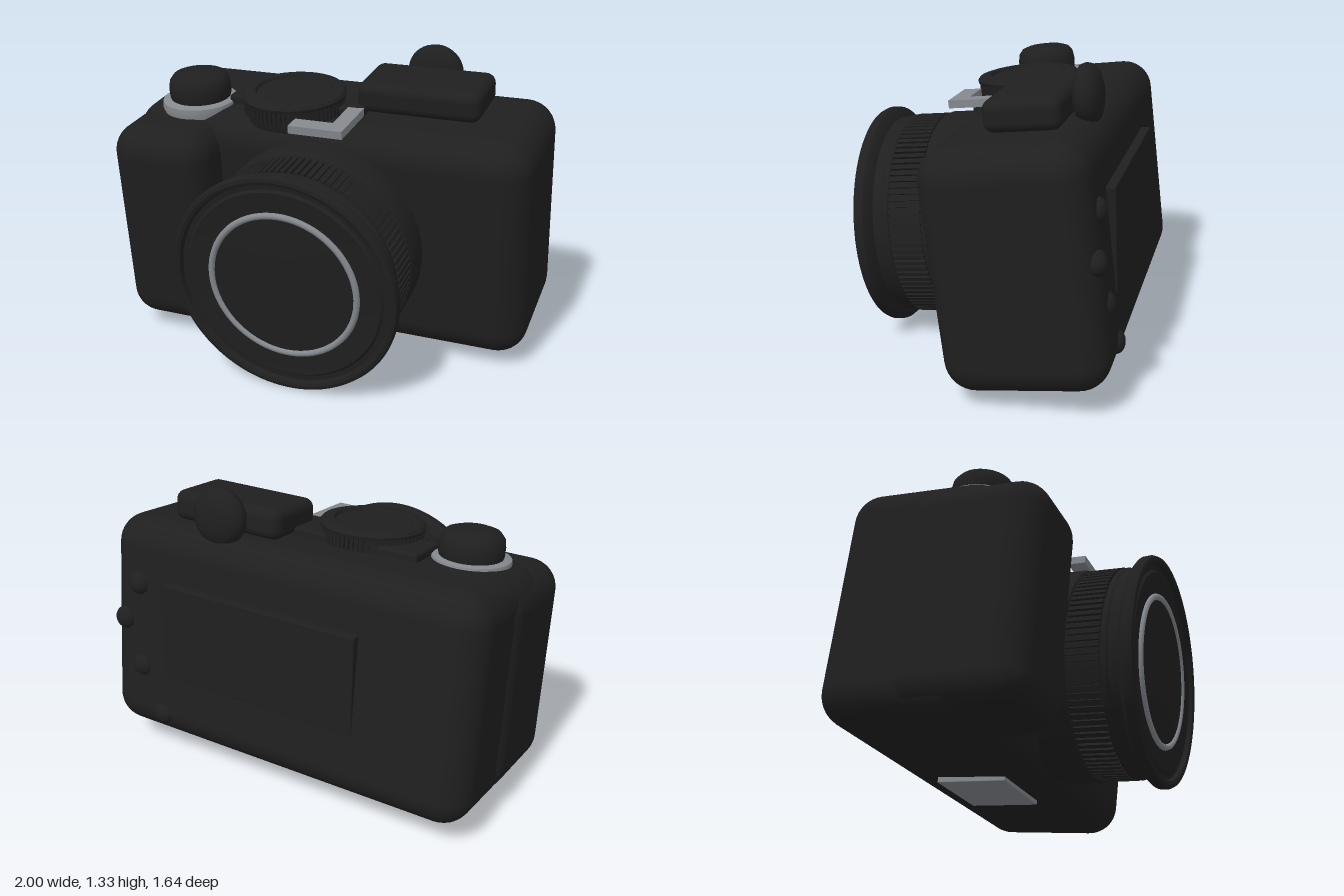
import * as THREE from 'three';
import { mergeGeometries, toCreasedNormals } from 'three/addons/utils/BufferGeometryUtils.js';
import { RoundedBoxGeometry } from 'three/addons/geometries/RoundedBoxGeometry.js';

const black = new THREE.MeshStandardMaterial({ name: 'black casing', color: 0x1f1f1f });
const silver = new THREE.MeshStandardMaterial({ name: 'silver trim', color: 0x84888d });

function add(parent, name, geometry, material = black, x = 0, y = 0, z = 0) {
  const mesh = new THREE.Mesh(geometry, material);
  mesh.name = name;
  mesh.position.set(x, y, z);
  parent.add(mesh);
  return mesh;
}

// Rounded block given by its limits on each axis
function block(parent, name, [x0, x1], [y0, y1], [z0, z1], radius, material) {
  const geometry = new RoundedBoxGeometry(x1 - x0, y1 - y0, z1 - z0, 5, radius);
  return add(parent, name, geometry, material, (x0 + x1) / 2, (y0 + y1) / 2, (z0 + z1) / 2);
}

// Turned part from [radius, height] pairs, crisp at its steps
function turned(profile, segments = 64) {
  const points = profile.map(([r, h]) => new THREE.Vector2(r, h));
  return toCreasedNormals(new THREE.LatheGeometry(points, segments), 0.6);
}

// Ring of small grip ribs around the y axis
function ribs(count, radius, height, width, depth) {
  const list = [];
  for (let i = 0; i < count; i++) {
    const rib = new THREE.BoxGeometry(width, height, depth);
    rib.translate(0, 0, radius - depth / 2);
    rib.rotateY((i / count) * Math.PI * 2);
    list.push(rib);
  }
  return mergeGeometries(list);
}

export function createModel() {
  const model = new THREE.Group();
  model.name = 'camera';
  const camera = new THREE.Group();
  camera.name = 'tiltedCamera';
  camera.rotation.set(0.1, -0.445, 0, 'YXZ');
  camera.position.set(0, 0.6, 0.015);
  model.add(camera);

  // Casing
  const body = block(camera, 'body', [-0.925, 0.908], [-0.533, 0.488], [-0.49, 0.2], 0.135);
  body.rotation.x = 0.02;
  block(camera, 'handGrip', [-0.94, -0.47], [-0.51, 0.455], [-0.2, 0.405], 0.13);

  // Lens, turned about the z axis
  const lens = new THREE.Group();
  lens.name = 'lens';
  lens.position.set(0, -0.035, 0.005);
  lens.rotation.x = Math.PI / 2;
  camera.add(lens);
  add(lens, 'lensBarrel', turned([
    [0.45, 0.1], [0.462, 0.18], [0.468, 0.21], [0.47, 0.325], [0.464, 0.345], [0.452, 0.35],
    [0.45, 0.5], [0.46, 0.505], [0.462, 0.525], [0.455, 0.535], [0.455, 0.575], [0.488, 0.59],
    [0.502, 0.605], [0.504, 0.63], [0.497, 0.646], [0.482, 0.65], [0.468, 0.645], [0.462, 0.625],
    [0.44, 0.625], [0.43, 0.635], [0.34, 0.625], [0, 0.625],
  ], 96));
  add(lens, 'focusRibs', ribs(100, 0.464, 0.145, 0.018, 0.025), black, 0, 0.427, 0);
  const ring = add(lens, 'lensTrimRing', new THREE.TorusGeometry(0.325, 0.014, 10, 80), silver, 0, 0.628, 0);
  ring.rotation.x = Math.PI / 2;
  add(lens, 'lensGlass', turned([[0.315, 0.62], [0.31, 0.632], [0.16, 0.637], [0, 0.638]]));

  // Shutter button on its silver collar
  add(camera, 'shutterCollar', turned([
    [0.15, 0.44], [0.168, 0.45], [0.172, 0.475], [0.168, 0.498], [0.155, 0.504], [0, 0.504],
  ]), silver, -0.65, 0, 0.02);
  add(camera, 'shutterButton', turned([
    [0.13, 0.48], [0.139, 0.515], [0.14, 0.55], [0.134, 0.585], [0.116, 0.608], [0.085, 0.619], [0, 0.622],
  ]), black, -0.65, 0, 0.012);

  // Mode dial on its raised bed
  block(camera, 'dialBed', [-0.5, 0.14], [0.44, 0.525], [-0.2, 0.025], 0.015);
  add(camera, 'modeDial', turned([
    [0.21, 0.45], [0.213, 0.46], [0.213, 0.545], [0.23, 0.548], [0.233, 0.56], [0.222, 0.573],
    [0.195, 0.58], [0.172, 0.58], [0.165, 0.566], [0, 0.56],
  ]), black, -0.19, 0, -0.01);
  add(camera, 'modeDialRibs', ribs(64, 0.226, 0.06, 0.013, 0.02), black, -0.19, 0.517, -0.01);

  // L-shaped bracket over the lens
  const corner = new THREE.Shape([
    [-0.1, -0.277], [0.142, -0.277], [0.142, -0.005], [0.072, -0.005], [0.072, -0.195], [-0.1, -0.195],
  ].map(([x, y]) => new THREE.Vector2(x, y)));
  const bracket = new THREE.ExtrudeGeometry(corner, { depth: 0.035, bevelEnabled: false });
  bracket.rotateX(-Math.PI / 2);
  add(camera, 'accessoryBracket', bracket, silver, 0, 0.49, 0);

  // Flash housing and the wheel standing behind it
  block(camera, 'flashHousing', [0.09, 0.645], [0.485, 0.622], [-0.345, -0.025], 0.045);
  const wheel = add(camera, 'rearWheel', turned([
    [0, -0.06], [0.06, -0.058], [0.1, -0.045], [0.124, -0.022], [0.13, 0],
    [0.124, 0.022], [0.1, 0.045], [0.06, 0.058], [0, 0.06],
  ], 40), black, 0.345, 0.568, -0.4);
  wheel.rotation.x = Math.PI / 2;

  // Rear screen, sinking into the casing toward its foot, and buttons
  const screen = block(camera, 'rearScreen', [-0.41, 0.57], [-0.21, 0.24], [-0.512, -0.46], 0.005);
  screen.rotation.x = -0.06;
  for (const [x, y] of [[0.73, 0.2], [0.81, 0.015], [0.71, -0.196], [0.59, -0.41]]) {
    const button = add(camera, 'rearButton', new THREE.SphereGeometry(0.053, 20, 14), black, x, y, -0.48);
    button.scale.z = 0.75;
  }

  // Plate under the body
  block(camera, 'tripodPlate', [-0.16, 0.21], [-0.555, -0.5], [-0.305, 0.015], 0.004, silver);
  return model;
}
